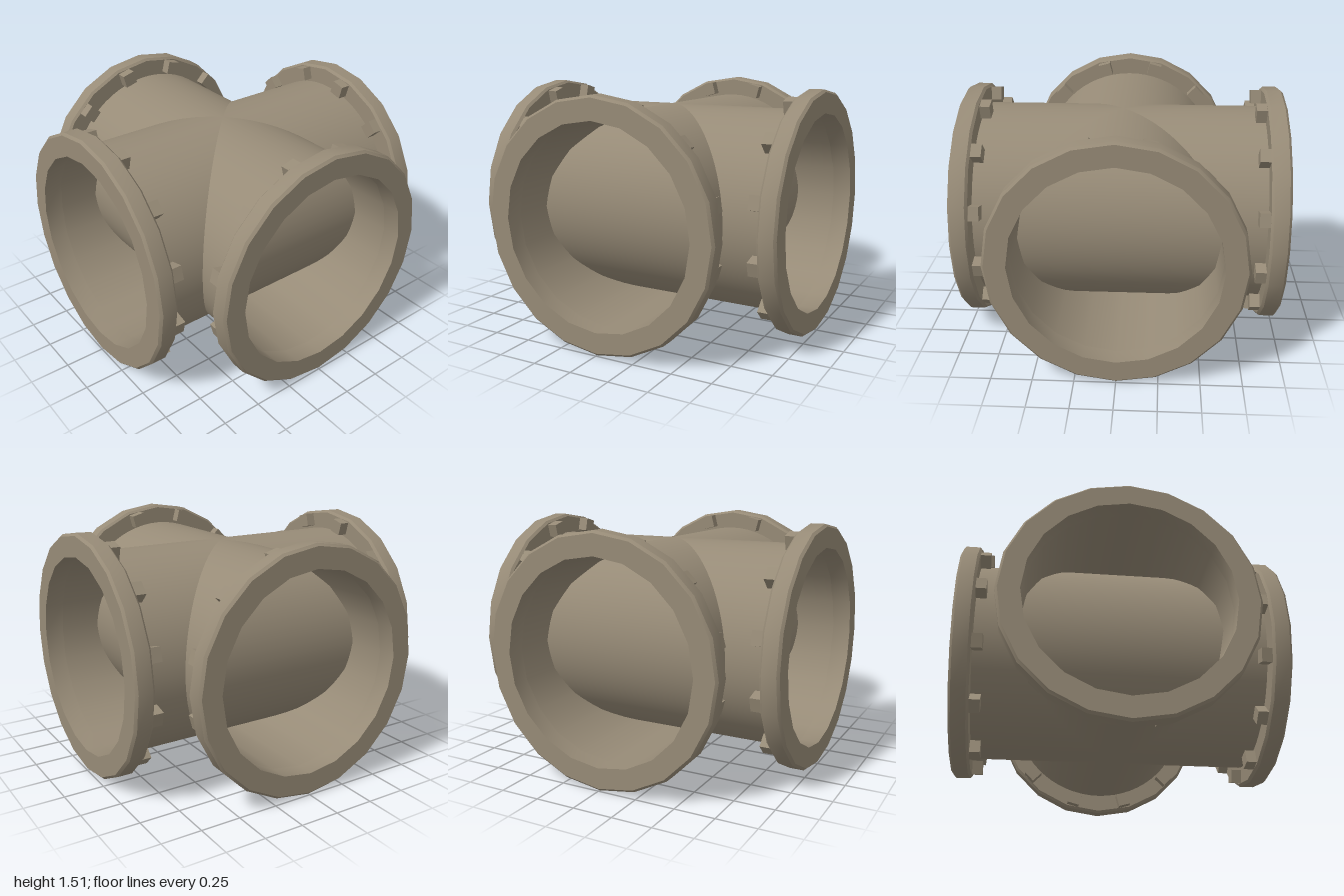
import * as THREE from 'three';
import { toCreasedNormals } from 'three/addons/utils/BufferGeometryUtils.js';

const R = 0.757;       // flange radius, also the height of the pipe axes
const PIPE_R = 0.63;
const BORE_R = 0.615;
const SIDES = 20;

export function createModel() {
  const model = new THREE.Group();
  model.name = 'pipeCross';
  const metal = new THREE.MeshStandardMaterial({ color: 0x978b77, side: THREE.DoubleSide });
  metal.name = 'weathered metal';

  // Bevelled ring, turned around y and lying at the end of an arm
  const bevel = 0.015;
  const profile = [
    [BORE_R, 0.882], [R - bevel, 0.882], [R, 0.882 + bevel],
    [R, 1 - bevel], [R - bevel, 1], [BORE_R, 1], [BORE_R, 0.882],
  ].map(([r, y]) => new THREE.Vector2(r, y));
  const flangeGeo = toCreasedNormals(new THREE.LatheGeometry(profile, SIDES), 0.5);
  const pipeGeo = new THREE.CylinderGeometry(PIPE_R, PIPE_R, 1.78, 64, 1, true);
  const boreGeo = new THREE.CylinderGeometry(BORE_R, BORE_R, 1.77, SIDES, 1, true);
  const boltGeo = new THREE.BoxGeometry(0.085, 0.07, 0.085);

  const add = (parent, geometry, name) => {
    const mesh = new THREE.Mesh(geometry, metal);
    mesh.name = name;
    parent.add(mesh);
    return mesh;
  };

  // Two crossing pipes, each with an inner bore wall
  for (const [name, axis] of [['lengthwisePipe', 'x'], ['crosswisePipe', 'z']]) {
    const pipe = new THREE.Group();
    pipe.name = name;
    add(pipe, pipeGeo, 'outerWall');
    add(pipe, boreGeo, 'boreWall');
    pipe.rotation[axis] = Math.PI / 2;
    pipe.position.y = R;
    model.add(pipe);
  }

  // Four bolted flanges
  ['frontFlange', 'leftFlange', 'backFlange', 'rightFlange'].forEach((name, i) => {
    const arm = new THREE.Group();
    arm.name = name;
    add(arm, flangeGeo, 'flangeRing');
    for (let k = 0; k < 12; k++) {
      const a = (k + 0.5) * Math.PI / 6;
      const bolt = add(arm, boltGeo, 'bolt');
      bolt.position.set(0.69 * Math.sin(a), 0.853, 0.69 * Math.cos(a));
      bolt.rotation.y = a;
    }
    arm.rotation.set(Math.PI / 2, i * Math.PI / 2, 0, 'YXZ');
    arm.position.y = R;
    model.add(arm);
  });

  return model;
}
